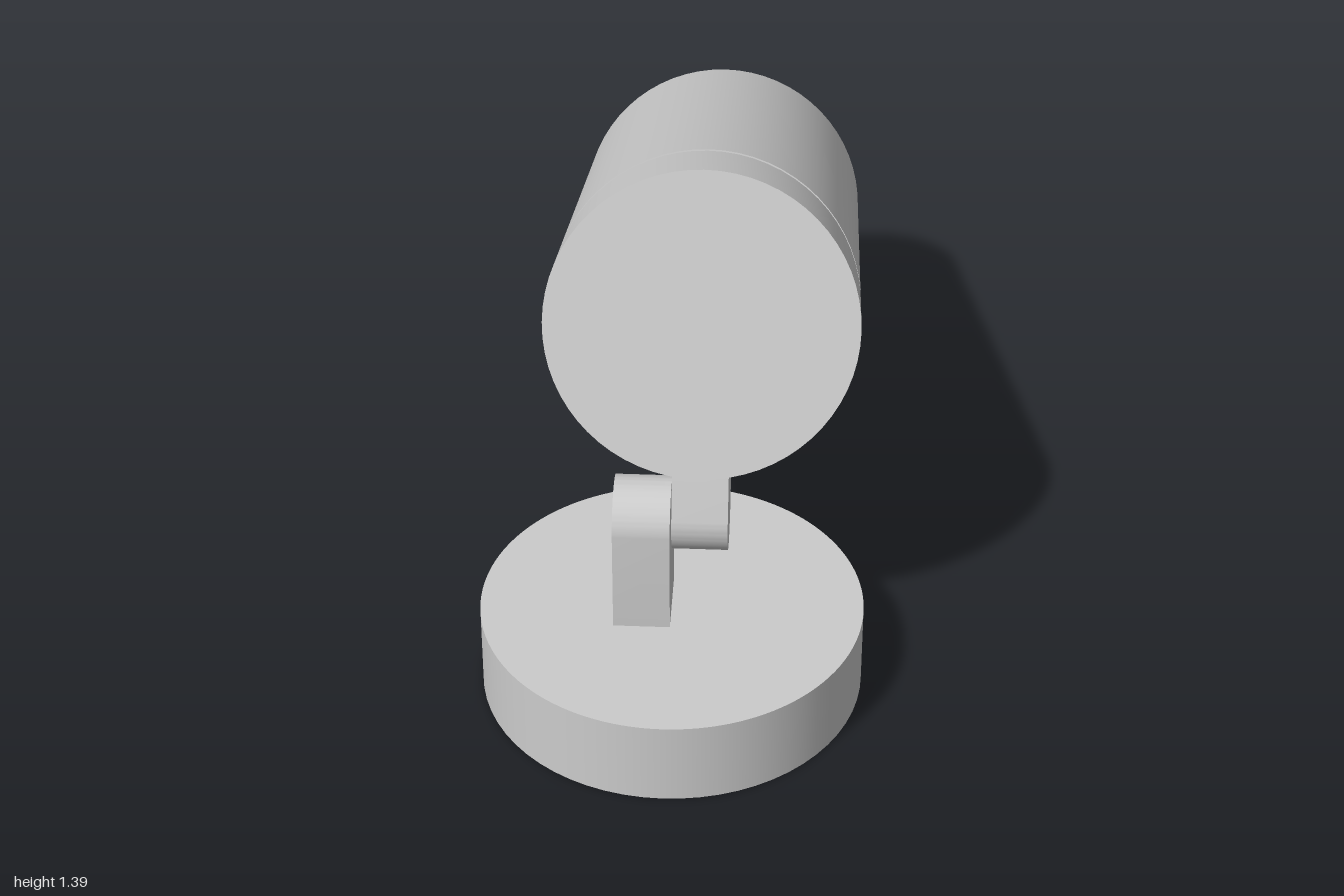
import * as THREE from 'three';
import { toCreasedNormals } from 'three/addons/utils/BufferGeometryUtils.js';

const TILT = THREE.MathUtils.degToRad(19.5);
const PIVOT_Z = 0.513;
const BASE_R = 0.487, BASE_H = 0.225;
const LINK_HALF = 0.1025, LINK_W = 0.143;

const material = new THREE.MeshStandardMaterial({ color: 0xcccccc, side: THREE.DoubleSide });

function part(name, geometry) {
  const mesh = new THREE.Mesh(geometry, material);
  mesh.name = name;
  return mesh;
}

// Flat bar with one rounded end, standing along y, its width running along +x
function linkGeometry(length, width, openEnd) {
  const s = new THREE.Shape();
  s.moveTo(-LINK_HALF, 0);
  s.lineTo(LINK_HALF, 0);
  s.lineTo(LINK_HALF, length);
  s.absarc(0, length, LINK_HALF, 0, Math.PI, false);
  s.closePath();
  const geo = new THREE.ExtrudeGeometry(s, { depth: width, bevelEnabled: false, curveSegments: 24 });
  geo.rotateY(Math.PI / 2);
  if (openEnd) {
    // drop the triangles lying in the foot plane
    const p = geo.attributes.position, kept = [];
    for (let i = 0; i < p.count; i += 3) {
      const foot = [0, 1, 2].every(k => Math.abs(p.getY(i + k)) < 1e-5);
      if (!foot) for (let k = 0; k < 3; k++) kept.push(p.getX(i + k), p.getY(i + k), p.getZ(i + k));
    }
    const open = new THREE.BufferGeometry();
    open.setAttribute('position', new THREE.Float32BufferAttribute(kept, 3));
    return toCreasedNormals(open, 0.5);
  }
  return toCreasedNormals(geo, 0.5);
}

export function createModel() {
  const model = new THREE.Group();
  model.name = 'spotlight';

  // Base: hollow shell, open below, its top pierced under the post
  const base = new THREE.Group();
  base.name = 'base';
  base.position.z = PIVOT_Z;
  const wall = part('baseWall', new THREE.CylinderGeometry(BASE_R, BASE_R, BASE_H, 64, 1, true));
  wall.position.y = BASE_H / 2;
  const disc = new THREE.Shape().absarc(0, 0, BASE_R, 0, Math.PI * 2, false);
  const hole = new THREE.Path();
  hole.moveTo(-LINK_W, -LINK_HALF);
  hole.lineTo(-LINK_W, LINK_HALF);
  hole.lineTo(0, LINK_HALF);
  hole.lineTo(0, -LINK_HALF);
  hole.closePath();
  disc.holes.push(hole);
  const top = part('baseTop', new THREE.ShapeGeometry(disc, 64).rotateX(-Math.PI / 2));
  top.position.y = BASE_H;
  base.add(wall, top);
  model.add(base);

  // Post: upright link, open at the foot
  const post = part('post', linkGeometry(0.2725, LINK_W, true));
  post.position.set(-LINK_W, BASE_H, PIVOT_Z);
  model.add(post);

  // Arm: tilted link from the pivot up into the lamp body
  const armLength = 0.17;
  const arm = part('arm', linkGeometry(armLength, LINK_W - 0.004, false));
  arm.rotation.x = Math.PI - TILT;
  arm.position.set(0.004, 0.5275 + armLength * Math.cos(TILT), PIVOT_Z - armLength * Math.sin(TILT));
  model.add(arm);

  // Lamp body: cap, groove, barrel and recessed lens in one turned profile
  const R = 0.386, L = 1.406, lensR = 0.312, recess = 0.08, grooveR = R - 0.022;
  const profile = [
    [0, 0], [R, 0], [R, 0.232], [grooveR, 0.232], [grooveR, 0.25],
    [R, 0.25], [R, L], [lensR, L], [lensR, L - recess], [0, L - recess],
  ].map(([x, y]) => new THREE.Vector2(x, y));
  const body = part('lampBody', toCreasedNormals(new THREE.LatheGeometry(profile, 64), 0.5));
  body.rotation.x = -(Math.PI / 2 + TILT);
  body.position.set(0.069, 1.031, 0.454);
  model.add(body);

  return model;
}
